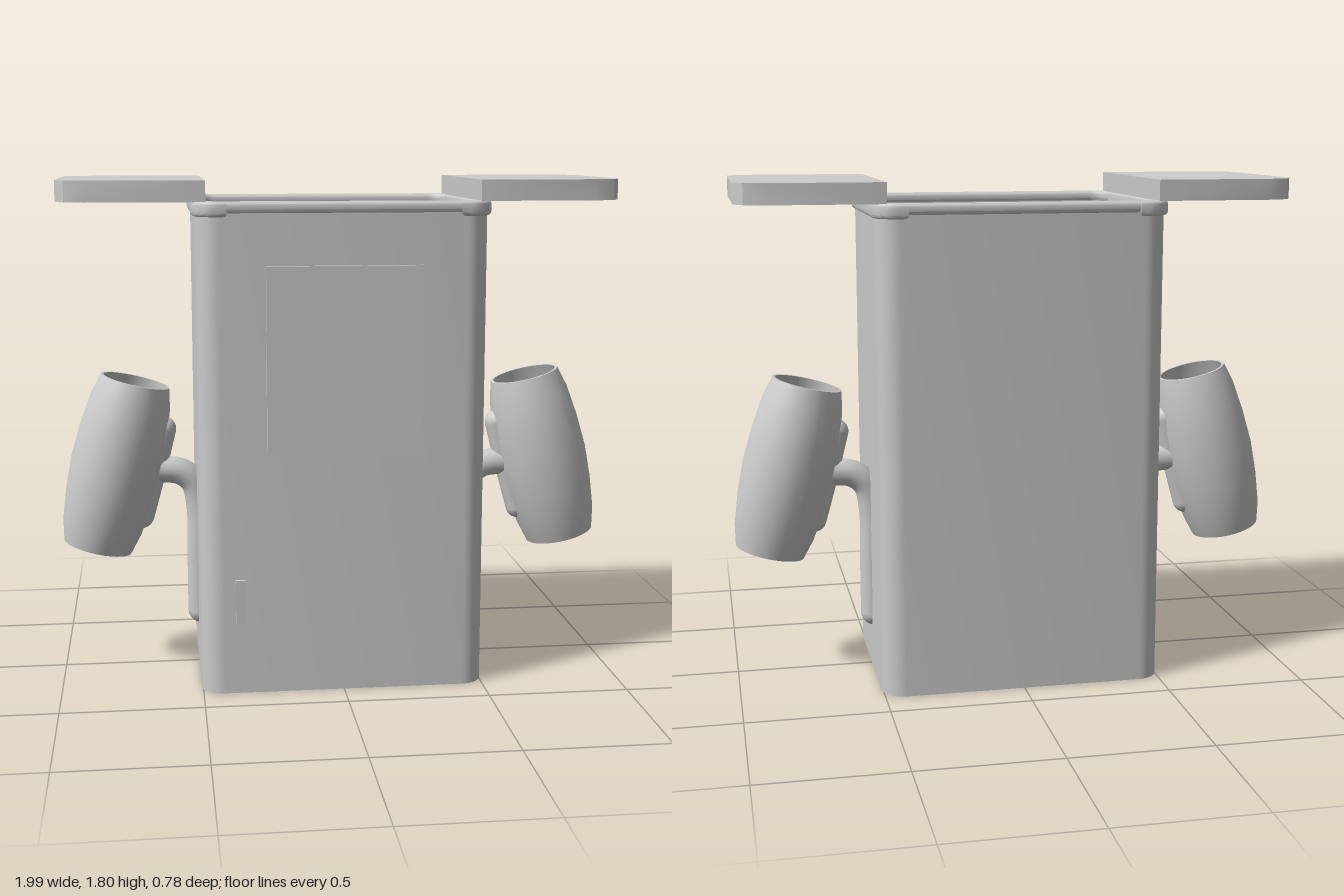
import * as THREE from 'three';
import { toCreasedNormals } from 'three/addons/utils/BufferGeometryUtils.js';

const material = new THREE.MeshStandardMaterial({ color: 0xcccccc, side: THREE.DoubleSide });

function add(parent, name, geometry) {
  const mesh = new THREE.Mesh(geometry, material);
  mesh.name = name;
  parent.add(mesh);
  return mesh;
}

// Rounded rectangle outline, centred on the origin
function roundedRect(target, hx, hy, r) {
  target.moveTo(-hx + r, -hy);
  target.lineTo(hx - r, -hy);
  target.absarc(hx - r, -hy + r, r, -Math.PI / 2, 0);
  target.lineTo(hx, hy - r);
  target.absarc(hx - r, hy - r, r, 0, Math.PI / 2);
  target.lineTo(-hx + r, hy);
  target.absarc(-hx + r, hy - r, r, Math.PI / 2, Math.PI);
  target.lineTo(-hx, -hy + r);
  target.absarc(-hx + r, -hy + r, r, Math.PI, Math.PI * 1.5);
  return target;
}

// Extrude a plan shape upwards from y0 to y1, optionally with rounded edges
function extrudeUp(shape, y0, y1, bevel = 0) {
  const geometry = new THREE.ExtrudeGeometry(shape, {
    depth: y1 - y0 - 2 * bevel, curveSegments: 5, bevelEnabled: bevel > 0,
    bevelSize: bevel, bevelThickness: bevel, bevelOffset: -bevel, bevelSegments: 3,
  });
  geometry.rotateX(-Math.PI / 2).translate(0, y0 + bevel, 0);
  return toCreasedNormals(geometry, 0.65);
}

function ring(hx, hz, r, wall) {
  const shape = roundedRect(new THREE.Shape(), hx, hz, r);
  shape.holes.push(roundedRect(new THREE.Path(), hx - wall, hz - wall, r - wall * 0.5));
  return shape;
}

// Round bar along a path with a ball at each end
function roundBar(parent, name, points, radius) {
  const path = new THREE.CatmullRomCurve3(points.map(([x, y]) => new THREE.Vector3(x, y, 0)));
  const bar = new THREE.Group();
  bar.name = name;
  parent.add(bar);
  add(bar, name + 'Rod', new THREE.TubeGeometry(path, 32, radius, 16));
  for (const t of [0, 1]) {
    add(bar, name + 'End', new THREE.SphereGeometry(radius, 16, 12)).position.copy(path.getPoint(t));
  }
}

// Everything on one side, built on +x
function buildSide(side) {
  const group = new THREE.Group();
  group.name = side + 'Side';

  // Open lid flap with rounded outer corners
  const flap = new THREE.Shape([
    [0.47, -0.37], [0.87, -0.37], [0.94, -0.345], [0.972, -0.285],
    [0.972, 0.285], [0.94, 0.345], [0.87, 0.37], [0.47, 0.37],
  ].map(([x, y]) => new THREE.Vector2(x, y)));
  add(group, side + 'Flap', extrudeUp(flap, 1.725, 1.797));

  // Band wrapping the end of the rim
  const band = new THREE.Shape();
  band.moveTo(0.4, -0.387);
  band.lineTo(0.43, -0.387);
  band.absarc(0.43, -0.3, 0.087, -Math.PI / 2, 0);
  band.lineTo(0.517, 0.3);
  band.absarc(0.43, 0.3, 0.087, 0, Math.PI / 2);
  band.lineTo(0.4, 0.387);
  band.lineTo(0.4, 0.35);
  band.absarc(0.41, 0.29, 0.06, Math.PI / 2, 0, true);
  band.lineTo(0.47, -0.29);
  band.absarc(0.41, -0.29, 0.06, 0, -Math.PI / 2, true);
  add(group, side + 'RimBand', extrudeUp(band, 1.675, 1.727, 0.012));

  // Bracket sunk into the wall, bending out to the holder
  roundBar(group, side + 'Bracket',
    [[0.493, 0.2], [0.493, 0.4], [0.494, 0.6], [0.515, 0.69], [0.565, 0.73], [0.64, 0.74]], 0.05);
  roundBar(group, side + 'HolderRail', [[0.622, 0.89], [0.665, 0.72], [0.708, 0.565]], 0.046);

  // Open barrel-shaped holder, leaning inwards at the top
  const outer = [[0.126, -0.316], [0.146, -0.24], [0.16, -0.12], [0.166, 0],
    [0.16, 0.12], [0.146, 0.24], [0.126, 0.316]];
  const inner = outer.map(([r, y]) => [r - 0.01, y]).reverse();
  const profile = [...outer, ...inner, outer[0]].map(([r, y]) => new THREE.Vector2(r, y));
  const holder = add(group, side + 'Holder',
    toCreasedNormals(new THREE.LatheGeometry(profile, 32), 0.7));
  holder.position.set(0.796, 0.763, 0);
  holder.rotation.z = 0.239;
  return group;
}

export function createModel() {
  const model = new THREE.Group();
  model.name = 'bin';

  // Hollow body, open at the top, with a raised floor
  add(model, 'body', extrudeUp(ring(0.505, 0.372, 0.08, 0.03), 0, 1.71));
  add(model, 'floor', extrudeUp(roundedRect(new THREE.Shape(), 0.48, 0.347, 0.065), 0.19, 0.21));
  add(model, 'rim', extrudeUp(ring(0.51, 0.378, 0.083, 0.038), 1.685, 1.727, 0.014));

  // Front panel and small latch
  add(model, 'frontPanel', new THREE.BoxGeometry(0.54, 0.64, 0.03)).position.set(0, 1.19, 0.376);
  add(model, 'latch', new THREE.BoxGeometry(0.034, 0.16, 0.03)).position.set(-0.367, 0.335, 0.371);

  // Mirrored sides
  model.add(buildSide('left'));
  const right = buildSide('right');
  right.scale.x = -1;
  model.add(right);
  return model;
}
